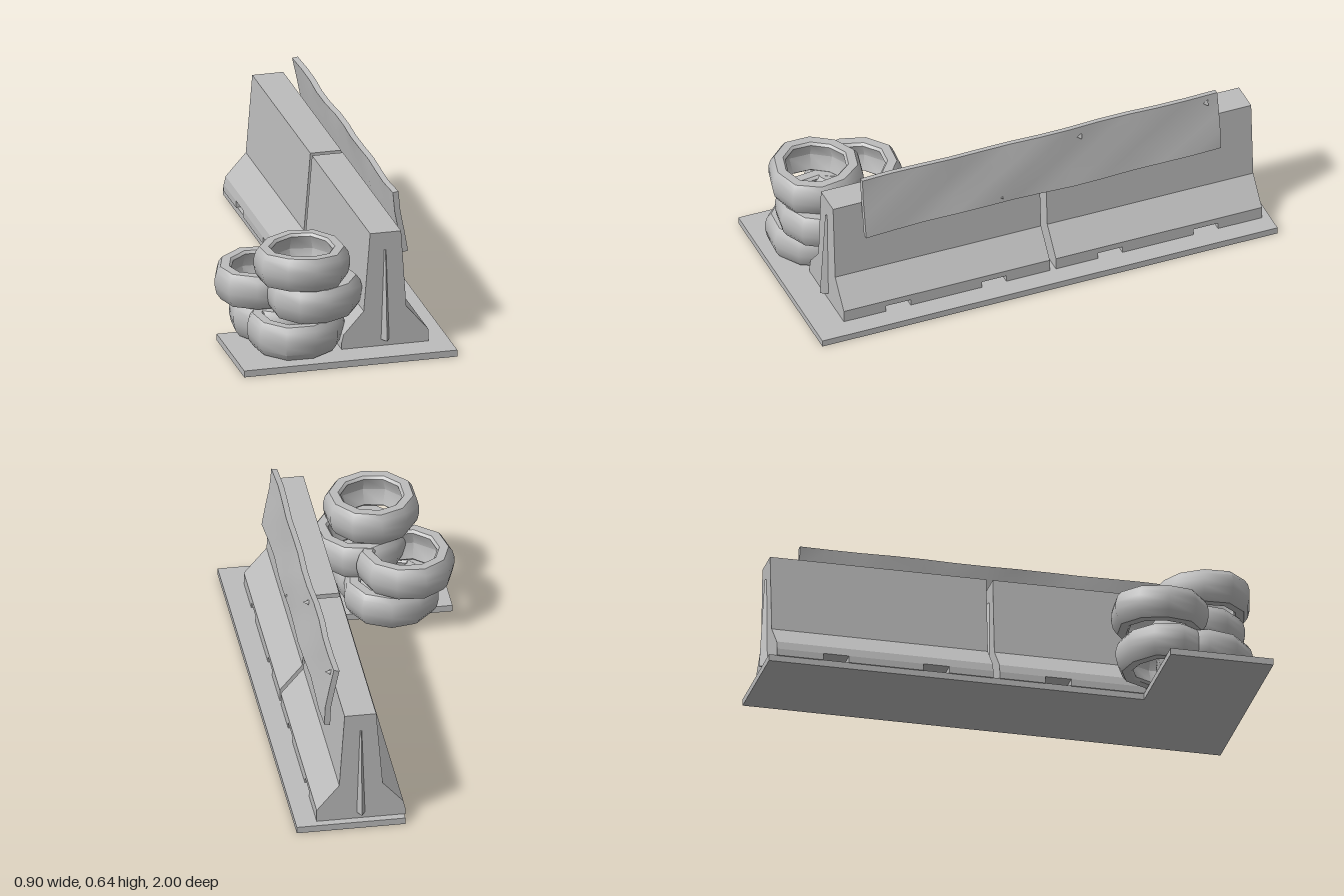
import * as THREE from 'three';
import { toCreasedNormals } from 'three/addons/utils/BufferGeometryUtils.js';

export function createModel() {
  const concrete = new THREE.MeshStandardMaterial({ color: 0xbcbcbc });
  concrete.name = 'plain grey';
  const model = new THREE.Group();
  model.name = 'trackBarrier';

  const add = (name, geometry, parent = model) => {
    const mesh = new THREE.Mesh(geometry, concrete);
    mesh.name = name;
    parent.add(mesh);
    return mesh;
  };
  const outline = (pts) => new THREE.Shape(pts.map(([x, y]) => new THREE.Vector2(x, y)));
  const extrude = (pts, depth) => new THREE.ExtrudeGeometry(outline(pts), { depth, bevelEnabled: false });

  // L-shaped ground slab
  const slab = extrude([[-0.445, -1], [0.452, -1], [0.452, 1], [0.005, 1], [0.005, -0.57], [-0.445, -0.57]], 0.028);
  slab.rotateX(-Math.PI / 2);
  add('groundSlab', slab);

  // Two concrete barriers, each with two drain tunnels underneath
  const notchTop = 0.055;
  const profile = [[0, notchTop], [0.365, notchTop], [0.365, 0.08], [0.272, 0.19], [0.25, 0.52],
    [0.12, 0.52], [0.093, 0.185], [0.008, 0.09]];
  const barrier = (name, z0, z1, drains) => {
    const group = new THREE.Group();
    group.name = name;
    add('barrierBody', extrude(profile, z1 - z0), group).position.z = z0;
    const cuts = [z0, ...drains.flatMap((d) => [d - 0.054, d + 0.054]), z1];
    for (let i = 0; i < cuts.length; i += 2) {
      const length = cuts[i + 1] - cuts[i];
      const foot = add('barrierFoot', new THREE.BoxGeometry(0.365, 0.029, length), group);
      foot.position.set(0.1825, 0.0405, cuts[i] + length / 2);
    }
    // tapered joint ridge on both ends
    for (const z of [z0, z1]) {
      const ridge = new THREE.CylinderGeometry(0.004, 0.017, 0.39, 4);
      ridge.scale(1, 1, 1.8);
      add('jointRidge', toCreasedNormals(ridge, 0.5), group).position.set(0.183, 0.25, z);
    }
    model.add(group);
  };
  barrier('frontBarrier', -0.035, 0.87, [0.21, 0.63]);
  barrier('backBarrier', -0.967, -0.062, [-0.72, -0.3]);

  // Dented sheet leaning on the outer side
  const panel = new THREE.BoxGeometry(0.024, 0.262, 1.56, 1, 3, 12);
  const p = panel.attributes.position;
  for (let i = 0; i < p.count; i++) {
    const y = p.getY(i), z = p.getZ(i);
    const dent = 0.006 * Math.sin(z * 7 + 1) * Math.cos(y * 9) + 0.004 * Math.sin(z * 13 + y * 20);
    p.setX(i, p.getX(i) + dent);
    if (y < -0.12) p.setY(i, y + 0.004 * Math.sin(z * 6));
  }
  panel.computeVertexNormals();
  const sheet = add('leaningPanel', toCreasedNormals(panel, 0.6));
  sheet.position.set(0.277, 0.513, -0.03);
  sheet.rotation.z = 0.14;

  // Small bolts in the sheet
  for (const [x, y, z] of [[0.285, 0.6, -0.205], [0.285, 0.61, -0.76], [0.305, 0.412, 0.15]]) {
    const bolt = add('panelBolt', new THREE.ConeGeometry(0.016, 0.026, 3));
    bolt.position.set(x, y, z);
    bolt.rotation.z = -Math.PI / 2;
  }

  // Pile of worn low-poly tyres: centre x, y, z, outer radius, spin
  const tyreProfile = [[0.76, 0], [0.64, -0.062], [0.69, -0.071], [0.87, -0.071], [0.96, -0.045], [1, -0.01],
    [1, 0.02], [0.96, 0.05], [0.88, 0.071], [0.69, 0.071], [0.64, 0.06], [0.76, 0]];
  const tyre = (name, x, y, z, radius, spin) => {
    const geometry = new THREE.LatheGeometry(
      tyreProfile.map(([r, h]) => new THREE.Vector2(r * radius, h)), 10);
    const v = geometry.attributes.position;
    for (let i = 0; i < v.count; i++) {
      const a = Math.atan2(v.getZ(i), v.getX(i));
      const worn = 1 + 0.02 * Math.sin(a * 3 + spin * 5);
      v.setXYZ(i, v.getX(i) * worn, v.getY(i) + 0.004 * Math.sin(a * 2 + spin * 3), v.getZ(i) * worn);
    }
    const mesh = add(name, toCreasedNormals(geometry, 0.75));
    mesh.position.set(x, y, z);
    mesh.rotation.y = spin;
  };
  tyre('bottomFrontTyre', -0.172, 0.104, 0.775, 0.2, 0.2);
  tyre('bottomBackTyre', -0.195, 0.104, 0.605, 0.2, 0.5);
  tyre('middleLeftTyre', -0.255, 0.25, 0.57, 0.2, 0.9);
  tyre('middleRightTyre', -0.095, 0.25, 0.77, 0.197, 0.1);
  tyre('topTyre', -0.145, 0.393, 0.785, 0.196, 0.7);

  return model;
}
